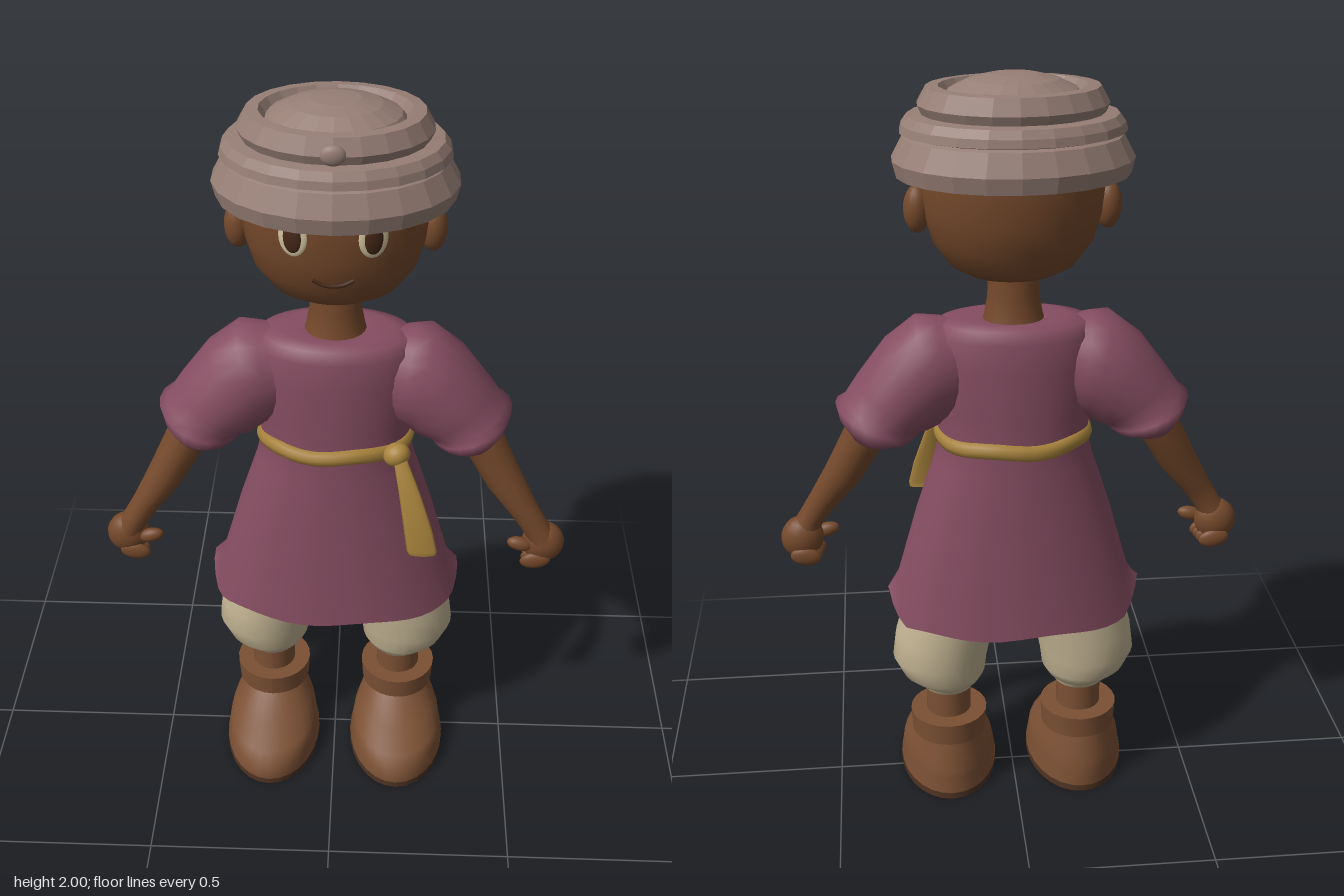
import * as THREE from 'three';

const mat = (name, color) => Object.assign(new THREE.MeshStandardMaterial({ color }), { name });
const V = (x, y, z) => new THREE.Vector3(x, y, z);

// Skin a list of equal rings of points, optionally capping the ends
function loft(rings, capStart = false, capEnd = false) {
  const n = rings[0].length, pos = [], idx = [];
  rings.forEach(r => r.forEach(p => pos.push(p.x, p.y, p.z)));
  for (let i = 0; i < rings.length - 1; i++) {
    for (let j = 0; j < n; j++) {
      const k = (j + 1) % n, a = i * n + j, b = i * n + k, c = a + n, d = b + n;
      idx.push(a, b, c, b, d, c);
    }
  }
  const cap = (ring, flip) => {
    const o = pos.length / 3, c = V(0, 0, 0);
    ring.forEach(p => { c.add(p); pos.push(p.x, p.y, p.z); });
    c.divideScalar(n);
    pos.push(c.x, c.y, c.z);
    for (let j = 0; j < n; j++) {
      const a = o + j, b = o + (j + 1) % n;
      flip ? idx.push(b, a, o + n) : idx.push(a, b, o + n);
    }
  };
  if (capStart) cap(rings[0], true);
  if (capEnd) cap(rings[rings.length - 1], false);
  const g = new THREE.BufferGeometry();
  g.setAttribute('position', new THREE.Float32BufferAttribute(pos, 3));
  g.setIndex(idx);
  g.computeVertexNormals();
  return g;
}

// Horizontal ellipse ring
function flatRing(y, cx, cz, rx, rz, n = 28, lift = () => 0) {
  return Array.from({ length: n }, (_, j) => {
    const a = j / n * Math.PI * 2;
    return V(cx + Math.sin(a) * rx, y + lift(a), cz + Math.cos(a) * rz);
  });
}

// Limb ring spanning an upper/outer point and a lower/inner point in the xy plane
function limbRing([px, py, qx, qy, cz, rz], n = 16) {
  return Array.from({ length: n }, (_, j) => {
    const a = j / n * Math.PI * 2, c = Math.cos(a);
    return V((px + qx) / 2 + c * (px - qx) / 2, (py + qy) / 2 + c * (py - qy) / 2, cz + Math.sin(a) * rz);
  });
}

const blob = (x, y, z, rx, ry, rz, rotZ = 0, rotY = 0) =>
  new THREE.SphereGeometry(1, 18, 12).scale(rx, ry, rz).rotateZ(rotZ).rotateY(rotY).translate(x, y, z);

// Mirror across x = 0, keeping faces outward
function mirror(geo) {
  const g = geo.clone().scale(-1, 1, 1), ix = g.index.array;
  for (let i = 0; i < ix.length; i += 3) [ix[i], ix[i + 1]] = [ix[i + 1], ix[i]];
  g.computeVertexNormals();
  return g;
}

export function createModel() {
  const model = new THREE.Group();
  model.name = 'character';
  const skin = mat('skin', 0x75492b), tunic = mat('tunic cloth', 0x854d61);
  const wrap = mat('hat cloth', 0x967e75), pants = mat('trouser cloth', 0xc2b392);
  const leather = mat('boot leather', 0x7b5034), sole = mat('sole', 0x4f3321);
  const sash = mat('sash', 0xa8833c), cream = mat('eye cream', 0xd2c3a0), dark = mat('dark brown', 0x452817);
  tunic.side = THREE.DoubleSide;

  const add = (name, geo, m) => {
    const mesh = new THREE.Mesh(geo, m);
    mesh.name = name;
    model.add(mesh);
  };
  const pair = (name, geo, m) => {
    add('left' + name, geo, m);
    add('right' + name, mirror(geo), m);
  };
  const lathe = (pts, n, ratio, cz) =>
    new THREE.LatheGeometry(pts.map(p => new THREE.Vector2(...p)), n).scale(1, 1, ratio).translate(0, 0, cz);

  // Head, neck and ears
  add('head', lathe([[0, 1.495], [0.06, 1.497], [0.11, 1.506], [0.155, 1.53], [0.2, 1.59], [0.22, 1.66],
    [0.228, 1.74], [0.222, 1.84], [0.15, 1.9], [0, 1.92]], 36, 0.77, -0.026), skin);
  add('neck', lathe([[0.085, 1.37], [0.075, 1.4], [0.066, 1.45], [0.064, 1.53]], 20, 0.9, -0.035), skin);
  pair('Ear', blob(0.236, 1.675, -0.03, 0.034, 0.06, 0.034), skin);

  // Face
  pair('EyeWhite', blob(0.093, 1.73, 0.136, 0.036, 0.05, 0.008, 0, 0.33), cream);
  pair('Iris', blob(0.094, 1.73, 0.141, 0.023, 0.039, 0.008, 0, 0.33), dark);
  const smile = new THREE.CatmullRomCurve3([V(-0.048, 1.615, 0.13), V(-0.025, 1.604, 0.133), V(0, 1.601, 0.134),
    V(0.025, 1.604, 0.133), V(0.048, 1.615, 0.13)]);
  add('mouth', new THREE.TubeGeometry(smile, 16, 0.005, 6), dark);

  // Faceted wrapped hat in three tiers with a dome
  const hat = lathe([[0.2, 1.79], [0.24, 1.77], [0.287, 1.76], [0.297, 1.8], [0.268, 1.855], [0.255, 1.86],
    [0.276, 1.865], [0.271, 1.885], [0.256, 1.905], [0.222, 1.908], [0.232, 1.93], [0.21, 1.97], [0.18, 1.972],
    [0.165, 1.95], [0.155, 1.963], [0.11, 1.985], [0.06, 1.997], [0, 2]], 22, 0.77, -0.036).toNonIndexed();
  hat.computeVertexNormals();
  add('hat', hat, wrap);
  add('hatOrnament', blob(0, 1.932, 0.136, 0.03, 0.025, 0.014), wrap);

  // Tunic body with a slit at each side of the hem
  const slit = a => {
    const d = Math.min(Math.abs(a - Math.PI * 0.53), Math.abs(a - Math.PI * 1.47));
    return 0.1 * Math.max(0, 1 - d / 0.4) + 0.006 * Math.sin(a * 6);
  };
  const body = [[0.54, 0.345, 0.186], [0.66, 0.315, 0.175], [0.85, 0.261, 0.16], [1, 0.212, 0.147],
    [1.07, 0.195, 0.14], [1.15, 0.205, 0.14], [1.28, 0.22, 0.137], [1.355, 0.215, 0.13], [1.385, 0.19, 0.115],
    [1.395, 0.14, 0.09], [1.39, 0.07, 0.058]];
  add('tunicBody', loft(body.map(([y, rx, rz], i) => flatRing(y, 0, -0.028, rx, rz, 48, i ? undefined : slit))), tunic);

  // Short sleeves with a rolled cuff
  pair('Sleeve', loft([
    [0.12, 1.385, 0.12, 1.15, -0.028, 0.09], [0.2, 1.395, 0.15, 1.13, -0.028, 0.115],
    [0.25, 1.398, 0.175, 1.12, -0.028, 0.126], [0.33, 1.335, 0.19, 1.11, -0.026, 0.13],
    [0.405, 1.235, 0.21, 1.1, -0.025, 0.126], [0.44, 1.182, 0.24, 1.095, -0.025, 0.12],
    [0.46, 1.17, 0.245, 1.085, -0.025, 0.137], [0.452, 1.135, 0.26, 1.073, -0.025, 0.137],
    [0.425, 1.09, 0.285, 1.075, -0.025, 0.115], [0.39, 1.11, 0.31, 1.1, -0.025, 0.06]
  ].map(r => limbRing(r, 20)), false, true), tunic);

  // Arms and fists
  const arm = [[0.33, 1.18, -0.02, 0.062], [0.378, 1.09, -0.015, 0.057], [0.45, 0.955, 0.005, 0.05],
    [0.51, 0.865, 0.025, 0.038], [0.545, 0.81, 0.03, 0.035], [0.565, 0.77, 0.03, 0.04]];
  pair('Arm', loft(arm.map(([x, y, z, r]) => limbRing([x + r * 0.87, y + r * 0.5, x - r * 0.87, y - r * 0.5, z, r])),
    true, true), skin);
  pair('Palm', blob(0.57, 0.755, 0.027, 0.058, 0.062, 0.044, 0.2), skin);
  for (let i = 0; i < 4; i++) {
    pair('Finger' + (i + 1), blob(0.562 - 0.004 * i, 0.711, -0.008 + i * 0.022, 0.042, 0.026, 0.014, 0.15), skin);
  }
  pair('Thumb', blob(0.505, 0.762, 0.05, 0.036, 0.02, 0.018, -0.25), skin);

  // Belt, knot and hanging end
  const loop = Array.from({ length: 24 }, (_, i) => {
    const a = i / 24 * Math.PI * 2;
    return V(Math.sin(a) * 0.193, (1.076 + 0.008 * Math.cos(a) + 0.004 * Math.sin(a * 5)) / 1.4, Math.cos(a) * 0.142 - 0.026);
  });
  add('belt', new THREE.TubeGeometry(new THREE.CatmullRomCurve3(loop, true), 72, 0.016, 8, true).scale(1, 1.4, 1), sash);
  add('beltKnot', blob(0.162, 1.085, 0.092, 0.036, 0.032, 0.032, 0.4), sash);
  const tail = [[0.82, 0.236, 0.176, 0.036], [0.835, 0.234, 0.178, 0.04], [0.9, 0.222, 0.168, 0.037],
    [1, 0.198, 0.15, 0.028], [1.08, 0.172, 0.112, 0.018]];
  add('beltTail', loft(tail.map(([y, x, z, w]) => flatRing(y, x, z, w, 0.008, 12)), true, true), sash);

  // Balloon trousers gathered below the knee
  const leg = [[0.305, 0.185, 0.062, 0.062], [0.312, 0.185, 0.072, 0.078], [0.328, 0.185, 0.066, 0.075],
    [0.336, 0.187, 0.092, 0.1], [0.36, 0.197, 0.116, 0.116], [0.41, 0.206, 0.131, 0.124], [0.48, 0.194, 0.134, 0.126],
    [0.56, 0.174, 0.132, 0.124], [0.66, 0.145, 0.126, 0.12], [0.76, 0.12, 0.115, 0.11]];
  pair('Trouser', loft(leg.map(([y, x, rx, rz]) => flatRing(y, x, -0.04, rx, rz)), true, true), pants);

  // Boots: shaft, folded cuff, foot and sole
  const X = 0.185;
  pair('BootShaft', new THREE.CylinderGeometry(0.062, 0.062, 0.2, 24).translate(X, 0.23, -0.043), leather);
  pair('BootCuff', new THREE.CylinderGeometry(0.107, 0.103, 0.064, 24).translate(X, 0.197, -0.045), leather);
  const foot = [[0.018, 0.26, -0.175, 0.137], [0.065, 0.258, -0.172, 0.13], [0.085, 0.22, -0.168, 0.126],
    [0.115, 0.15, -0.16, 0.112], [0.145, 0.085, -0.152, 0.095], [0.17, 0.05, -0.145, 0.088]];
  pair('BootFoot', loft(foot.map(([y, f, b, rx]) => flatRing(y, X, (f + b) / 2, rx, (f - b) / 2)), true, true), leather);
  pair('BootSole', loft([0, 0.018].map(y => flatRing(y, X, 0.0425, 0.138, 0.219)), true, true), sole);

  return model;
}
